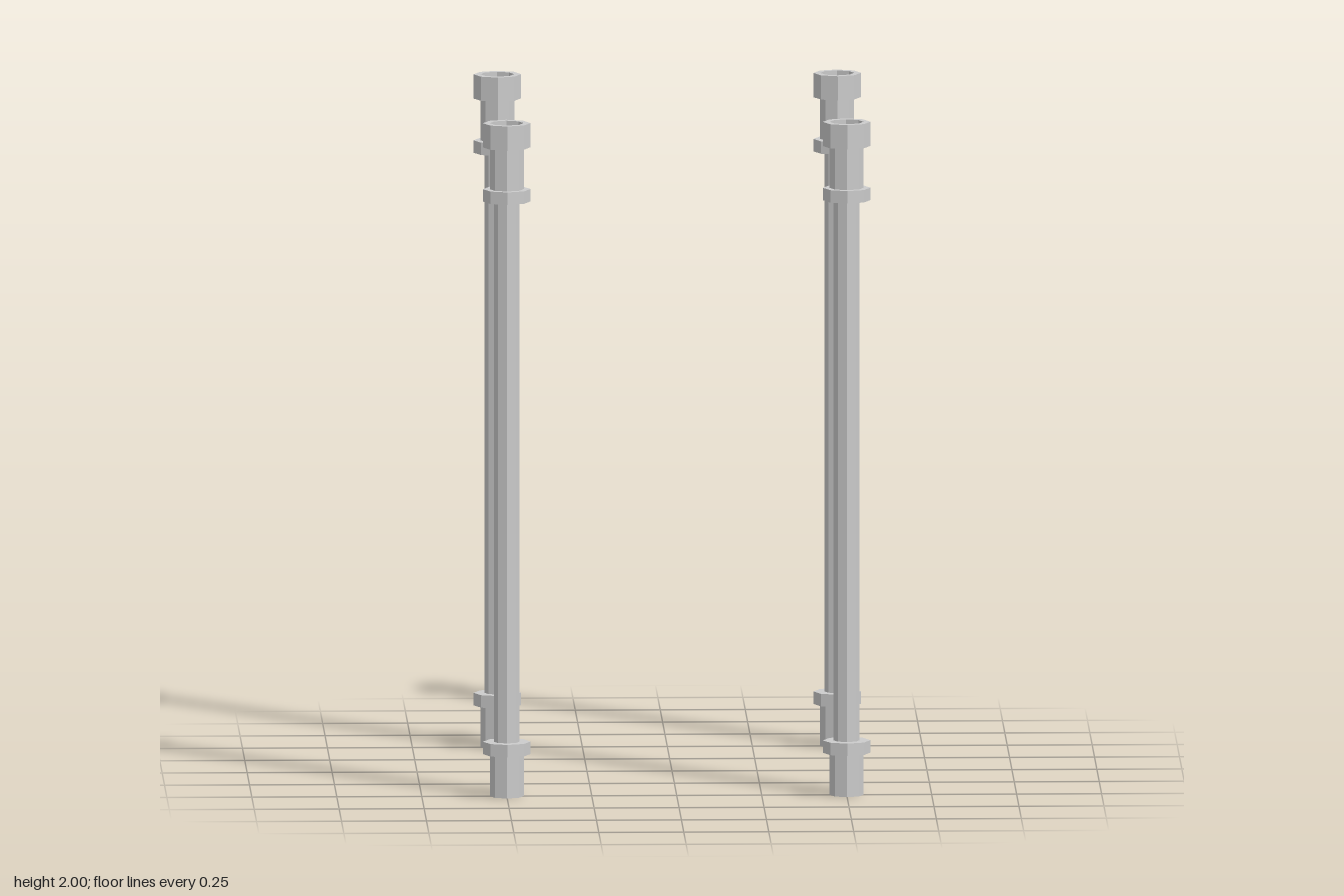
import * as THREE from 'three';

const SIDES = 8;
const TUBE = 0.038, SOCKET = 0.05, FLANGE = 0.07;

const material = new THREE.MeshStandardMaterial({
  color: 0xcccccc, flatShading: true, side: THREE.DoubleSide,
});

// Open octagonal shell turned from [radius, height] pairs
function turned(name, profile) {
  const points = profile.map(([r, y]) => new THREE.Vector2(r, y));
  const mesh = new THREE.Mesh(new THREE.LatheGeometry(points, SIDES), material);
  mesh.name = name;
  return mesh;
}

// Hollow pole, open at both ends
function createPole(name) {
  const pole = new THREE.Group();
  pole.name = name;
  pole.add(
    turned('footSleeve', [[SOCKET, 0], [SOCKET, 0.125]]),
    turned('lowerCollar', [[SOCKET, 0.125], [FLANGE, 0.125], [FLANGE, 0.162], [TUBE, 0.162]]),
    turned('shaft', [[TUBE, 0.162], [TUBE, 1.767]]),
    turned('upperCollar', [[TUBE, 1.767], [FLANGE, 1.767], [FLANGE, 1.804], [SOCKET, 1.804]]),
    // The neck runs on inside the collar and the head as the socket wall
    turned('neck', [[SOCKET, 1.767], [SOCKET, 2]]),
    turned('head', [[SOCKET, 1.928], [FLANGE, 1.928], [FLANGE, 2], [SOCKET, 2]]),
  );
  return pole;
}

export function createModel() {
  const model = new THREE.Group();
  model.name = 'poleSet';
  // One pole at each corner of a square
  for (const [zName, z] of [['front', 0.5], ['back', -0.5]]) {
    for (const [xName, x] of [['Left', 0.5], ['Right', -0.5]]) {
      const pole = createPole(`${zName}${xName}Pole`);
      pole.position.set(x, 0, z);
      model.add(pole);
    }
  }
  return model;
}
